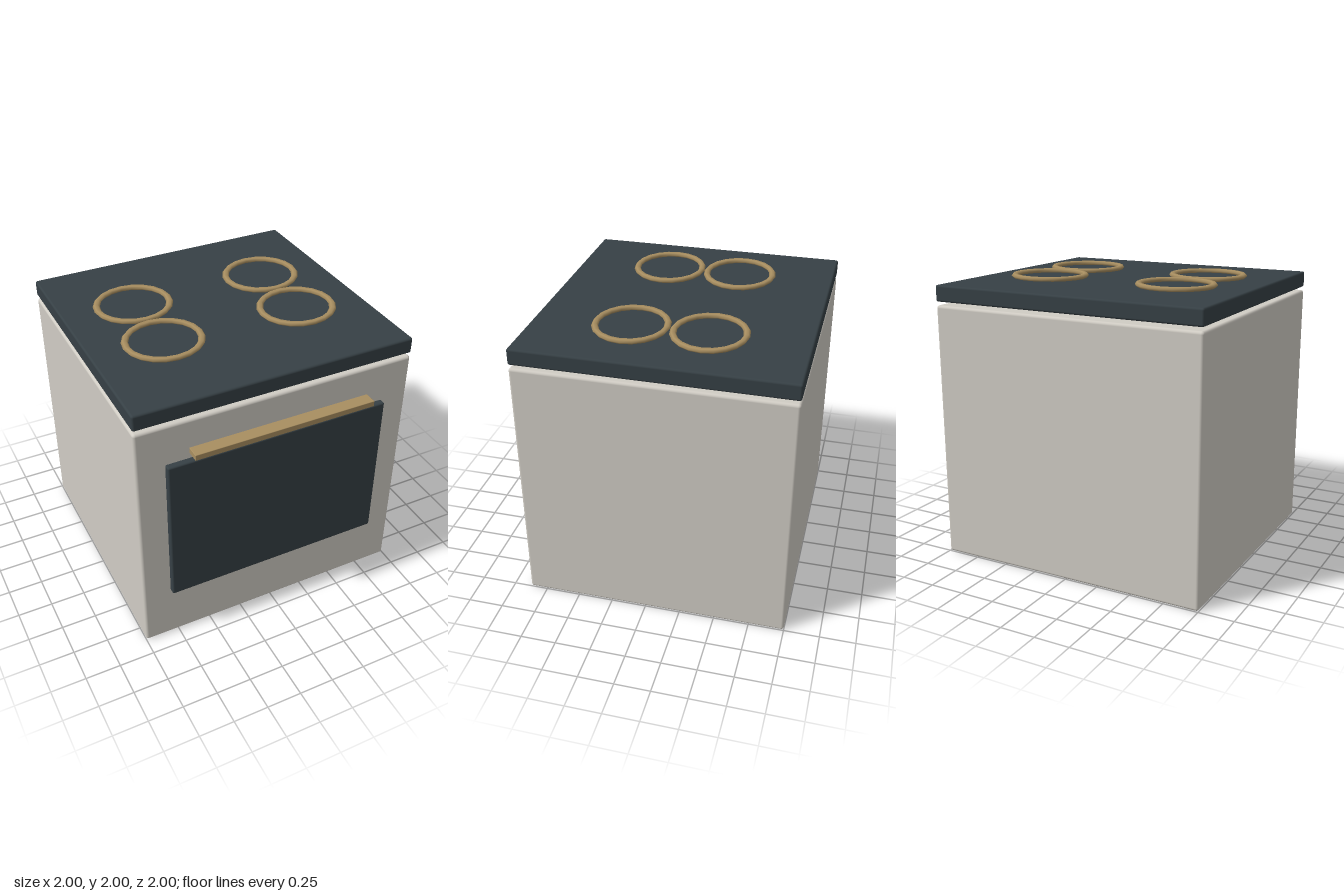
import * as THREE from 'three';
import { RoundedBoxGeometry } from 'three/addons/geometries/RoundedBoxGeometry.js';

const cream = new THREE.MeshStandardMaterial({ color: 0xd0ccc4 });
const slate = new THREE.MeshStandardMaterial({ color: 0x364045 });
const brass = new THREE.MeshStandardMaterial({ color: 0xa88e60 });

export function createModel() {
  const stove = new THREE.Group();
  stove.name = 'stove';

  // Softly bevelled box given by its limits on each axis
  const addBox = (name, material, [x0, x1], [y0, y1], [z0, z1], radius) => {
    const geometry = new RoundedBoxGeometry(x1 - x0, y1 - y0, z1 - z0, 3, radius);
    const mesh = new THREE.Mesh(geometry, material);
    mesh.position.set((x0 + x1) / 2, (y0 + y1) / 2, (z0 + z1) / 2);
    mesh.name = name;
    stove.add(mesh);
  };

  addBox('body', cream, [-1, 1], [0, 1.823], [-1, 0.875], 0.02);
  addBox('cooktop', slate, [-1, 1], [1.848, 1.963], [-1, 0.875], 0.015);
  addBox('ovenDoor', slate, [-0.8, 0.8], [0.417, 1.53], [0.84, 0.918], 0.012);
  addBox('doorHandle', brass, [-0.65, 0.65], [1.6, 1.642], [0.908, 1], 0.004);

  // Four flattened burner rings, slightly oval front to back
  const ring = new THREE.TorusGeometry(0.257, 0.025, 6, 20);
  ring.rotateX(-Math.PI / 2);
  ring.scale(1, 0.68, 0.935);
  for (const x of [-0.5, 0.5]) {
    for (const z of [-0.33, 0.197]) {
      const burner = new THREE.Mesh(ring, brass);
      burner.name = (z < 0 ? 'back' : 'front') + (x < 0 ? 'Right' : 'Left') + 'Burner';
      burner.position.set(x, 1.985, z);
      stove.add(burner);
    }
  }
  return stove;
}
